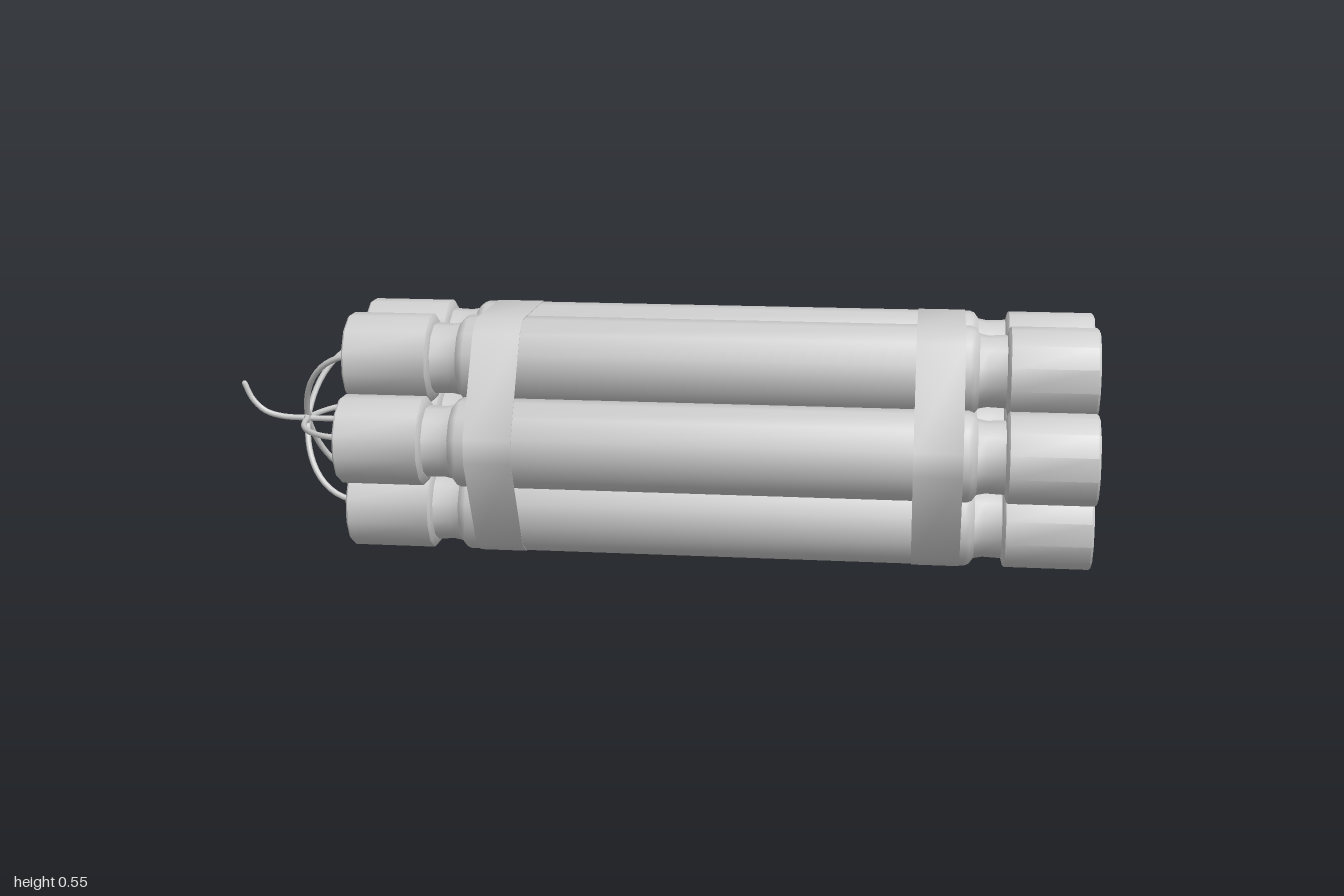
import * as THREE from 'three';
import { toCreasedNormals } from 'three/addons/utils/BufferGeometryUtils.js';

const R = 0.1015;        // stick circumradius
const MID = 0.275;       // height of the bundle axis
const PITCH = 0.2;       // distance between stick axes
const KNOT_X = -0.84;

const material = new THREE.MeshStandardMaterial({ color: 0xcccccc });
const bandMaterial = new THREE.MeshStandardMaterial({ color: 0xcccccc, side: THREE.DoubleSide });

// axes of the six outer sticks, as [y, z, angle]
const outer = Array.from({ length: 6 }, (_, i) => {
  const a = (i * Math.PI) / 3;
  return [MID + PITCH * Math.sin(a), PITCH * Math.cos(a), a];
});

// twelve-sided stick with a pinched neck near each end
function stickGeometry() {
  const profile = [
    [0, -0.7], [R - 0.004, -0.7], [R, -0.696], [R, -0.508], [R - 0.004, -0.504],
    [0.082, -0.5], [0.08, -0.46], [0.084, -0.44], [R - 0.004, -0.43], [R, -0.42],
    [R, 0.715], [R - 0.004, 0.725], [0.084, 0.735], [0.08, 0.755], [0.082, 0.796],
    [R - 0.004, 0.8], [R, 0.804], [R, 0.992], [R - 0.004, 0.997], [0, 0.997],
  ].map(([r, x]) => new THREE.Vector2(r, x));
  const g = new THREE.LatheGeometry(profile, 12, Math.PI / 12);
  g.rotateZ(-Math.PI / 2);
  return toCreasedNormals(g, 0.7);
}

// thin strap stretched around the outside of the bundle
function bandGeometry(width) {
  const loop = (extra) => outer.flatMap(([y, z, a]) => [-1, 1].map((s) => {
    const t = a + (s * Math.PI) / 12;
    return new THREE.Vector2(z + (R + extra) * Math.cos(t), y + (R + extra) * Math.sin(t));
  }));
  const shape = new THREE.Shape(loop(0.002));
  shape.holes.push(new THREE.Path(loop(0.0005).reverse()));
  const g = new THREE.ExtrudeGeometry(shape, { depth: width, bevelEnabled: false });
  g.translate(0, 0, -width / 2);
  g.rotateY(-Math.PI / 2);
  return toCreasedNormals(g, 0.7);
}

function fuse(curve, name, segments) {
  const mesh = new THREE.Mesh(new THREE.TubeGeometry(curve, segments, 0.007, 8), material);
  mesh.name = name;
  return mesh;
}

export function createModel() {
  const group = new THREE.Group();
  group.name = 'stickBundle';

  // seven sticks: one in the middle, six around it
  const stickGeo = stickGeometry();
  [[MID, 0], ...outer].forEach(([y, z], i) => {
    const stick = new THREE.Mesh(stickGeo, material);
    stick.name = i ? `outerStick${i}` : 'centreStick';
    stick.position.set(0, y, z);
    group.add(stick);
  });

  // two straps
  const bandGeo = bandGeometry(0.108);
  [['rightBand', -0.345], ['leftBand', 0.65]].forEach(([name, x]) => {
    const band = new THREE.Mesh(bandGeo, bandMaterial);
    band.name = name;
    band.position.x = x;
    group.add(band);
  });

  // short fuses arching from each outer stick into the knot
  outer.forEach(([y, z], i) => {
    const dy = y - MID;
    const curve = new THREE.CubicBezierCurve3(
      new THREE.Vector3(-0.695, y, z),
      new THREE.Vector3(-0.775, MID + dy * 0.98, z * 0.98),
      new THREE.Vector3(-0.835, MID + dy * 0.6, z * 0.6),
      new THREE.Vector3(KNOT_X, MID, 0),
    );
    group.add(fuse(curve, `outerFuse${i + 1}`, 14));
  });

  // main fuse from the centre stick, curling up at its tip
  const main = new THREE.CatmullRomCurve3([
    [-0.695, 0.275], [KNOT_X, 0.275], [-0.905, 0.278], [-0.945, 0.29], [-0.975, 0.318], [-0.993, 0.355],
  ].map(([x, y]) => new THREE.Vector3(x, y, 0)));
  group.add(fuse(main, 'mainFuse', 28));
  const tip = new THREE.Mesh(new THREE.SphereGeometry(0.007, 8, 6), material);
  tip.name = 'fuseTip';
  tip.position.set(-0.993, 0.355, 0);
  group.add(tip);

  // knot where the fuses meet
  const knot = new THREE.Mesh(new THREE.TorusGeometry(0.011, 0.007, 8, 12), material);
  knot.name = 'fuseKnot';
  knot.rotation.y = Math.PI / 2;
  knot.position.set(KNOT_X, MID, 0);
  group.add(knot);

  return group;
}
